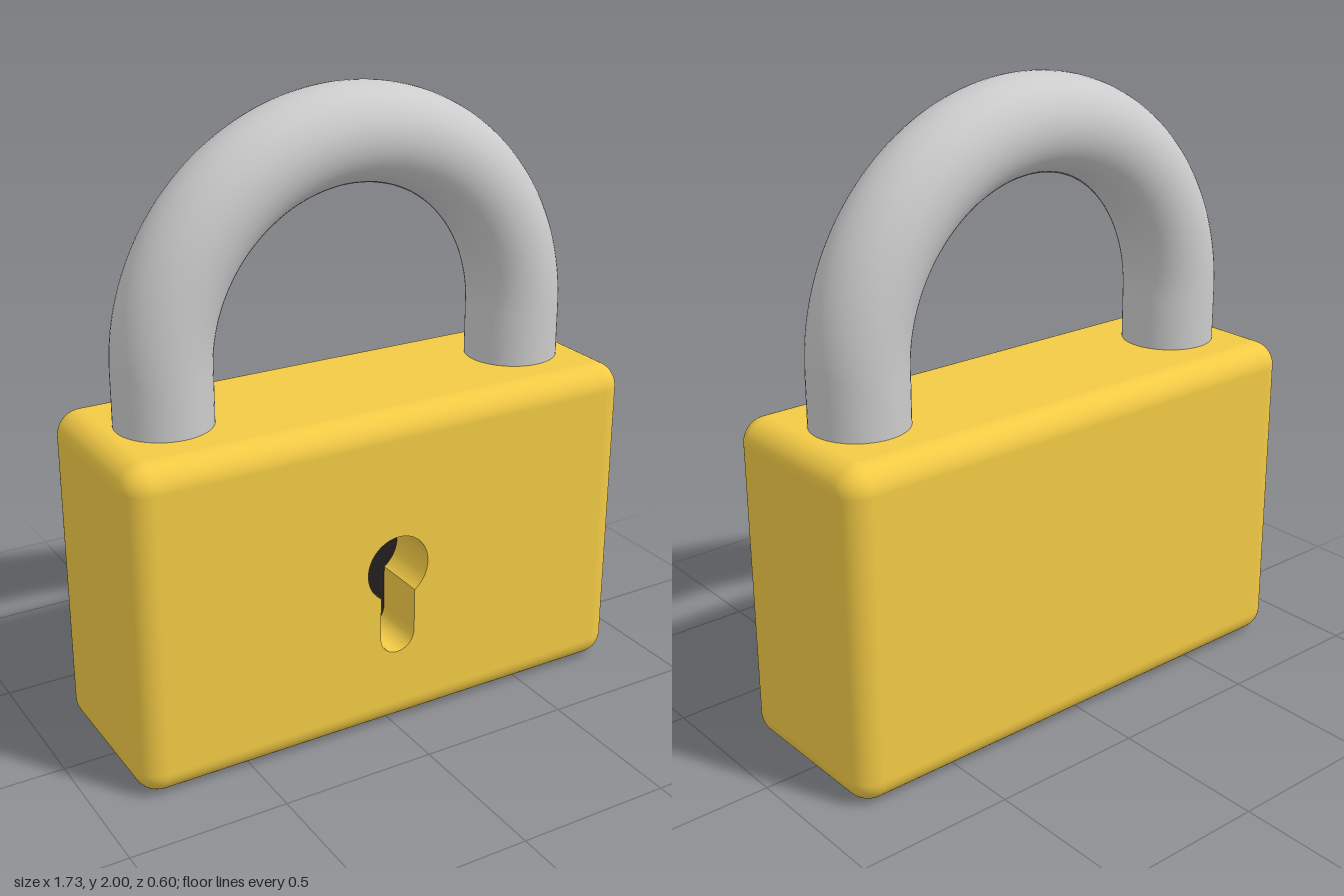
import * as THREE from 'three';
import { RoundedBoxGeometry } from 'three/addons/geometries/RoundedBoxGeometry.js';

const W = 1.73, H = 1.06, D = 0.6, R = 0.08;   // body size and edge radius
const FRONT = D / 2, RECESS = 0.18;            // front plane, keyhole depth
const LEG_X = 0.62, TUBE_R = 0.15, ARCH_Y = 1.23;

// Keyhole outline: round head above a slot with a rounded end
function keyholePoints() {
  const x = 0.007, headY = 0.553, headR = 0.108, slotR = 0.061, slotY = 0.323;
  const a = Math.asin(slotR / headR);
  const path = new THREE.Path();
  path.absarc(x, headY, headR, -Math.PI / 2 + a, Math.PI * 1.5 - a, false);
  path.absarc(x, slotY, slotR, Math.PI, Math.PI * 2, false);
  path.closePath();
  return path.getPoints(32);
}

// Rounded box without its flat front, which is replaced by a pierced panel
function bodyShell() {
  const geo = new RoundedBoxGeometry(W, H, D, 8, R);
  const pos = geo.attributes.position, nor = geo.attributes.normal;
  const p = [], n = [];
  for (let i = 0; i < pos.count; i += 3) {
    if ([0, 1, 2].every((k) => pos.getZ(i + k) > FRONT - 1e-5)) continue;
    for (let k = i; k < i + 3; k++) {
      p.push(pos.getX(k), pos.getY(k) + H / 2, pos.getZ(k));
      n.push(nor.getX(k), nor.getY(k), nor.getZ(k));
    }
  }
  const shell = new THREE.BufferGeometry();
  shell.setAttribute('position', new THREE.Float32BufferAttribute(p, 3));
  shell.setAttribute('normal', new THREE.Float32BufferAttribute(n, 3));
  return shell;
}

// Band that follows the outline from the front plane to the recess floor
function recessWall(points) {
  const geo = new THREE.PlaneGeometry(1, 1, points.length - 1, 1);
  const pos = geo.attributes.position;
  for (let i = 0; i < pos.count; i++) {
    const q = points[i % points.length];
    pos.setXYZ(i, q.x, q.y, i < points.length ? FRONT : FRONT - RECESS);
  }
  const wall = geo.toNonIndexed();
  wall.computeVertexNormals();
  return wall;
}

export function createModel() {
  const model = new THREE.Group();
  const brass = new THREE.MeshStandardMaterial({ color: 0xf2ca45 });
  const brassInside = new THREE.MeshStandardMaterial({ color: 0xf2ca45, side: THREE.DoubleSide });
  const dark = new THREE.MeshStandardMaterial({ color: 0x231f20 });
  const steel = new THREE.MeshStandardMaterial({ color: 0xcccccc });

  const add = (parent, name, geo, mat, x = 0, y = 0, z = 0) => {
    const mesh = new THREE.Mesh(geo, mat);
    mesh.name = name;
    mesh.position.set(x, y, z);
    parent.add(mesh);
  };

  // Body with keyhole
  const body = new THREE.Group();
  body.name = 'body';
  const outline = keyholePoints();
  const hw = W / 2 - R;
  const panel = new THREE.Shape([
    new THREE.Vector2(-hw, R), new THREE.Vector2(hw, R),
    new THREE.Vector2(hw, H - R), new THREE.Vector2(-hw, H - R),
  ]);
  panel.holes.push(new THREE.Path(outline));
  add(body, 'bodyShell', bodyShell(), brass);
  add(body, 'frontPanel', new THREE.ShapeGeometry(panel), brass, 0, 0, FRONT);
  add(body, 'keyholeWall', recessWall(outline), brassInside);
  add(body, 'keyholeFloor', new THREE.ShapeGeometry(new THREE.Shape(outline)), dark, 0, 0, FRONT - RECESS);
  model.add(body);

  // Shackle: half ring on two straight legs that sink slightly into the body
  const shackle = new THREE.Group();
  shackle.name = 'shackle';
  add(shackle, 'shackleArch', new THREE.TorusGeometry(LEG_X, TUBE_R, 48, 96, Math.PI), steel, 0, ARCH_Y, 0);
  const bottom = H - 0.03, legH = ARCH_Y - bottom;
  for (const [side, name] of [[1, 'leftLeg'], [-1, 'rightLeg']]) {
    add(shackle, name, new THREE.CylinderGeometry(TUBE_R, TUBE_R, legH, 48, 1, true), steel,
      side * LEG_X, bottom + legH / 2, 0);
  }
  model.add(shackle);
  return model;
}
